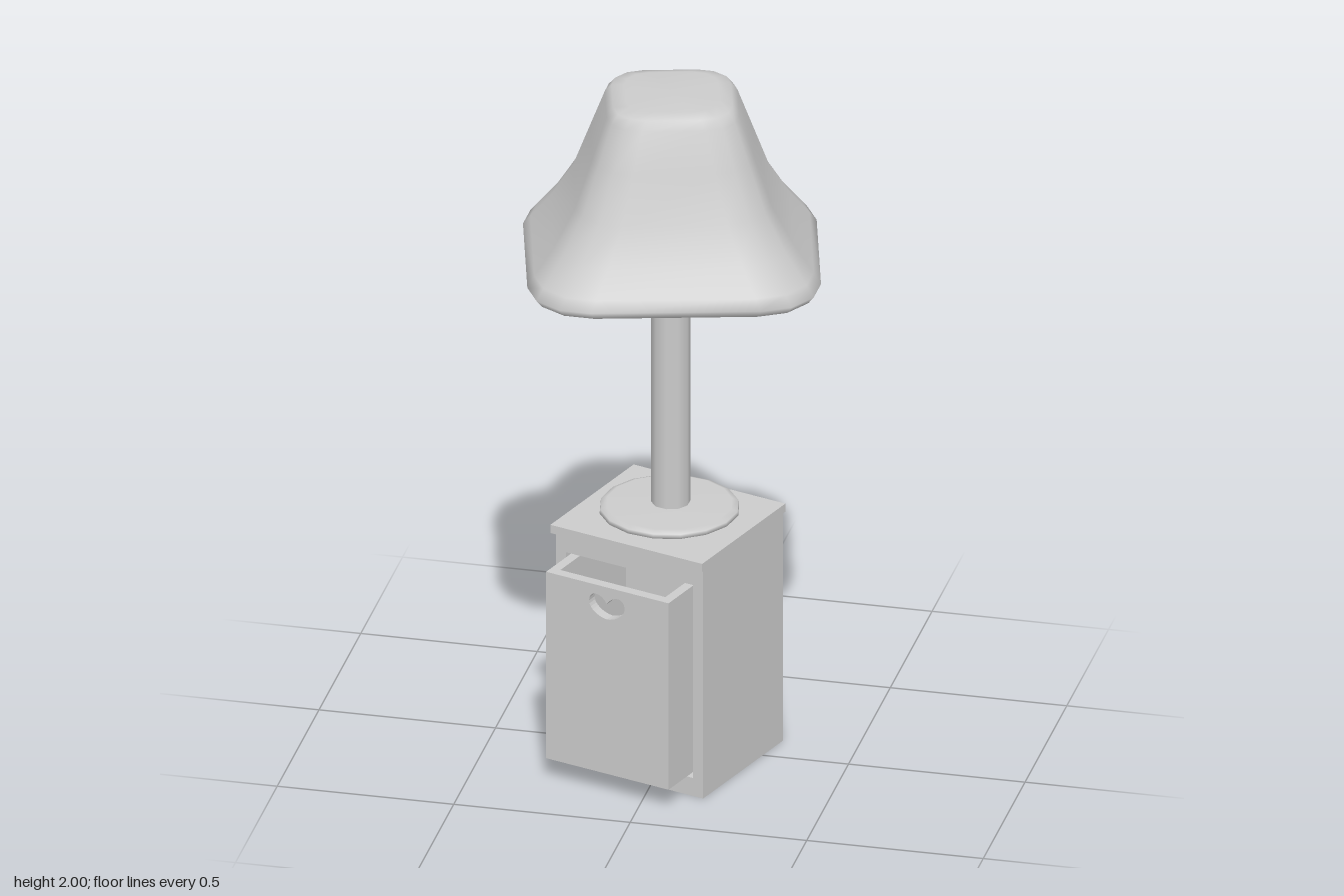
import * as THREE from 'three';

const material = new THREE.MeshStandardMaterial({ color: 0xcccccc });

function add(parent, name, geometry, x = 0, y = 0, z = 0) {
  const mesh = new THREE.Mesh(geometry, material);
  mesh.name = name;
  mesh.position.set(x, y, z);
  parent.add(mesh);
  return mesh;
}

// Box given by its minimum and maximum corners
function block(parent, name, [x0, y0, z0], [x1, y1, z1]) {
  return add(parent, name, new THREE.BoxGeometry(x1 - x0, y1 - y0, z1 - z0),
    (x0 + x1) / 2, (y0 + y1) / 2, (z0 + z1) / 2);
}

function rectangle(PathType, x0, y0, x1, y1) {
  const p = new PathType();
  p.moveTo(x0, y0);
  p.lineTo(x1, y0);
  p.lineTo(x1, y1);
  p.lineTo(x0, y1);
  p.closePath();
  return p;
}

function extrude(shape, depth) {
  return new THREE.ExtrudeGeometry(shape, { depth, bevelEnabled: false, curveSegments: 8 });
}

// Heart-shaped finger hole
function heartPath(x, y) {
  const p = new THREE.Path();
  p.moveTo(x, y + 0.012);
  p.bezierCurveTo(x + 0.02, y + 0.045, x + 0.057, y + 0.042, x + 0.057, y + 0.01);
  p.bezierCurveTo(x + 0.057, y - 0.015, x + 0.025, y - 0.033, x, y - 0.035);
  p.bezierCurveTo(x - 0.025, y - 0.033, x - 0.057, y - 0.015, x - 0.057, y + 0.01);
  p.bezierCurveTo(x - 0.057, y + 0.042, x - 0.02, y + 0.045, x, y + 0.012);
  return p;
}

function createCabinet() {
  const cabinet = new THREE.Group();
  cabinet.name = 'cabinet';

  // Hollow carcass, open at the front
  const frame = rectangle(THREE.Shape, -0.236, 0, 0.236, 0.7);
  frame.holes.push(rectangle(THREE.Path, -0.204, 0.055, 0.204, 0.645));
  add(cabinet, 'carcass', extrude(frame, 0.41), 0, 0, -0.195);
  block(cabinet, 'backPanel', [-0.236, 0, -0.215], [0.236, 0.7, -0.195]);
  block(cabinet, 'tableTop', [-0.245, 0.7, -0.218], [0.242, 0.725, 0.23]);

  // Drawer, pulled part-way out
  const drawer = new THREE.Group();
  drawer.name = 'drawer';
  const front = rectangle(THREE.Shape, -0.198, 0.065, 0.195, 0.635);
  front.holes.push(heartPath(-0.003, 0.572));
  add(drawer, 'drawerFront', extrude(front, 0.03), 0, 0, 0.302);
  block(drawer, 'drawerRightSide', [-0.198, 0.065, -0.08], [-0.17, 0.635, 0.302]);
  block(drawer, 'drawerLeftSide', [0.167, 0.065, -0.08], [0.195, 0.635, 0.302]);
  block(drawer, 'drawerBack', [-0.17, 0.065, -0.08], [0.167, 0.635, -0.05]);
  block(drawer, 'drawerBottom', [-0.17, 0.065, -0.05], [0.167, 0.095, 0.302]);
  cabinet.add(drawer);

  cabinet.position.z = 0.03;
  cabinet.rotation.y = THREE.MathUtils.degToRad(-17.5);
  return cabinet;
}

// Rounded-rectangle cross-sections [halfWidth, halfDepth, cornerRadius, y], joined bottom to top
function loftRoundedRectangles(sections, cornerSteps = 3) {
  const positions = [], index = [];
  const count = 4 * (cornerSteps + 1);
  for (const [hx, hz, r, y] of sections) {
    for (let corner = 0; corner < 4; corner++) {
      const sx = corner === 0 || corner === 3 ? 1 : -1;
      const sz = corner < 2 ? 1 : -1;
      for (let k = 0; k <= cornerSteps; k++) {
        const a = (corner + k / cornerSteps) * Math.PI / 2;
        positions.push(sx * (hx - r) + r * Math.cos(a), y, sz * (hz - r) + r * Math.sin(a));
      }
    }
  }
  for (let s = 0; s < sections.length - 1; s++) {
    for (let i = 0; i < count; i++) {
      const j = (i + 1) % count;
      const a = s * count + i, b = s * count + j;
      index.push(a, a + count, b, b, a + count, b + count);
    }
  }
  // Close both ends
  const top = (sections.length - 1) * count;
  const low = positions.length / 3;
  positions.push(0, sections[0][3], 0, 0, sections[sections.length - 1][3], 0);
  for (let i = 0; i < count; i++) {
    const j = (i + 1) % count;
    index.push(low, i, j, low + 1, top + j, top + i);
  }
  const geometry = new THREE.BufferGeometry();
  geometry.setAttribute('position', new THREE.Float32BufferAttribute(positions, 3));
  geometry.setIndex(index);
  geometry.computeVertexNormals();
  return geometry;
}

function createLamp() {
  const lamp = new THREE.Group();
  lamp.name = 'lamp';

  // Low rounded foot
  const footProfile = [[0, 0.722], [0.18, 0.722], [0.195, 0.73], [0.193, 0.742], [0.175, 0.749], [0, 0.75]]
    .map(([r, y]) => new THREE.Vector2(r, y));
  add(lamp, 'lampFoot', new THREE.LatheGeometry(footProfile, 16), -0.005, 0, 0.01);

  add(lamp, 'lampPole', new THREE.CylinderGeometry(0.054, 0.054, 0.78, 10), -0.003, 1.12, 0.002);

  // Soft square shade
  const shade = add(lamp, 'lampShade', loftRoundedRectangles([
    [0.34, 0.315, 0.14, 1.47],
    [0.39, 0.362, 0.165, 1.483],
    [0.405, 0.375, 0.17, 1.505],
    [0.385, 0.357, 0.165, 1.535],
    [0.33, 0.31, 0.145, 1.61],
    [0.27, 0.26, 0.125, 1.715],
    [0.223, 0.218, 0.11, 1.85],
    [0.183, 0.179, 0.095, 1.965],
    [0.165, 0.162, 0.09, 1.99],
    [0.13, 0.128, 0.075, 2.0],
  ]));
  shade.rotation.y = THREE.MathUtils.degToRad(15);
  return lamp;
}

export function createModel() {
  const model = new THREE.Group();
  model.name = 'bedsideTableWithLamp';
  model.add(createCabinet(), createLamp());
  return model;
}
